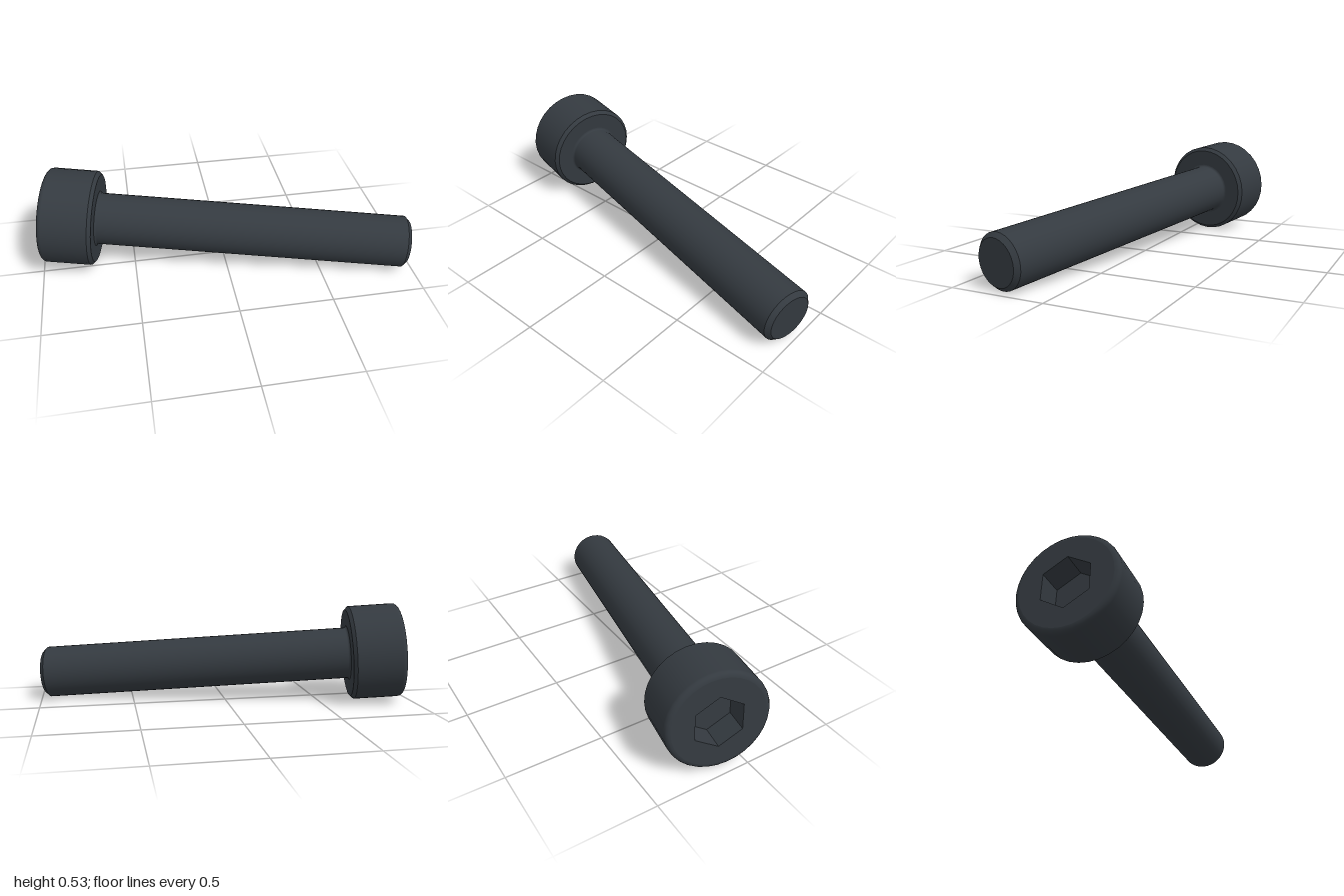
import * as THREE from 'three';
import { mergeGeometries } from 'three/addons/utils/BufferGeometryUtils.js';

const SEG = 32;

// Lathe several profile runs separately so the edges between them stay sharp
function turned(runs) {
  return mergeGeometries(runs.map(run =>
    new THREE.LatheGeometry(run.map(([r, y]) => new THREE.Vector2(r, y)), SEG)));
}

// Quarter-round profile points
function arc(cx, cy, r, from, to, n = 4) {
  return Array.from({ length: n + 1 }, (_, i) => {
    const a = from + (to - from) * i / n;
    return [cx + r * Math.cos(a), cy + r * Math.sin(a)];
  });
}

export function createModel() {
  const steel = new THREE.MeshStandardMaterial({ color: 0x343a40 });
  const model = new THREE.Group();
  const screw = new THREE.Group();
  screw.name = 'screw';
  model.add(screw);

  const add = (name, geometry) => {
    const mesh = new THREE.Mesh(geometry, steel);
    mesh.name = name;
    screw.add(mesh);
  };

  // Dimensions: head face at local y = 0, tip at y = -length
  const length = 1.971, headR = 0.2577, headH = 0.281, shaftR = 0.14;
  const round = 0.026, bevel = 0.018, fillet = 0.012;
  const hexR = 0.135, hexDepth = 0.128, tipBevel = 0.022;

  // Head: underside, bevel, side with rounded top rim
  add('head', turned([
    [[shaftR + fillet, -headH], [headR - bevel, -headH]],
    [[headR - bevel, -headH], [headR, -headH + bevel]],
    [[headR, -headH + bevel], ...arc(headR - round, -round, round, 0, Math.PI / 2)],
  ]));

  // Head face with hexagonal opening
  const face = new THREE.Shape().absarc(0, 0, headR - round, 0, Math.PI * 2);
  const hex = Array.from({ length: 6 }, (_, i) => new THREE.Vector2(
    hexR * Math.cos(i * Math.PI / 3), hexR * Math.sin(i * Math.PI / 3)));
  face.holes.push(new THREE.Path(hex));
  add('headFace', new THREE.ShapeGeometry(face, SEG / 2).rotateX(-Math.PI / 2));

  // Socket walls turned inward, and floor
  const walls = new THREE.CylinderGeometry(hexR, hexR, hexDepth, 6, 1, true)
    .rotateY(Math.PI / 6).translate(0, -hexDepth / 2, 0).scale(-1, 1, 1).toNonIndexed();
  const p = walls.attributes.position.array;
  for (let i = 0; i < p.length; i += 9) {
    for (let k = 0; k < 3; k++) [p[i + 3 + k], p[i + 6 + k]] = [p[i + 6 + k], p[i + 3 + k]];
  }
  // Orient each wall triangle toward the axis
  const a = new THREE.Vector3(), b = new THREE.Vector3(), c = new THREE.Vector3();
  for (let i = 0; i < p.length; i += 9) {
    a.fromArray(p, i); b.fromArray(p, i + 3); c.fromArray(p, i + 6);
    const n = b.clone().sub(a).cross(c.clone().sub(a));
    if (n.x * (a.x + b.x + c.x) + n.z * (a.z + b.z + c.z) > 0) {
      c.toArray(p, i + 3);
      b.toArray(p, i + 6);
    }
  }
  walls.computeVertexNormals();
  add('socketWalls', walls);
  add('socketFloor', new THREE.CircleGeometry(hexR, 6)
    .rotateX(-Math.PI / 2).translate(0, -hexDepth, 0));

  // Shank: flat tip, bevel, rod and fillet under the head
  add('shank', turned([
    [[0, -length], [shaftR - tipBevel, -length]],
    [[shaftR - tipBevel, -length], [shaftR, -length + tipBevel]],
    [[shaftR, -length + tipBevel],
      ...arc(shaftR + fillet, -headH - fillet, fillet, Math.PI, Math.PI / 2)],
  ]));

  // Lay the screw down along its slanted axis
  const yAxis = new THREE.Vector3(-0.975, 0.069, -0.208).normalize();
  const zAxis = new THREE.Vector3(0, 1, 0).cross(yAxis).normalize();
  const xAxis = yAxis.clone().cross(zAxis);
  screw.quaternion.setFromRotationMatrix(new THREE.Matrix4().makeBasis(xAxis, yAxis, zAxis));
  screw.position.set(-0.948, 0.278, -0.147);

  return model;
}
